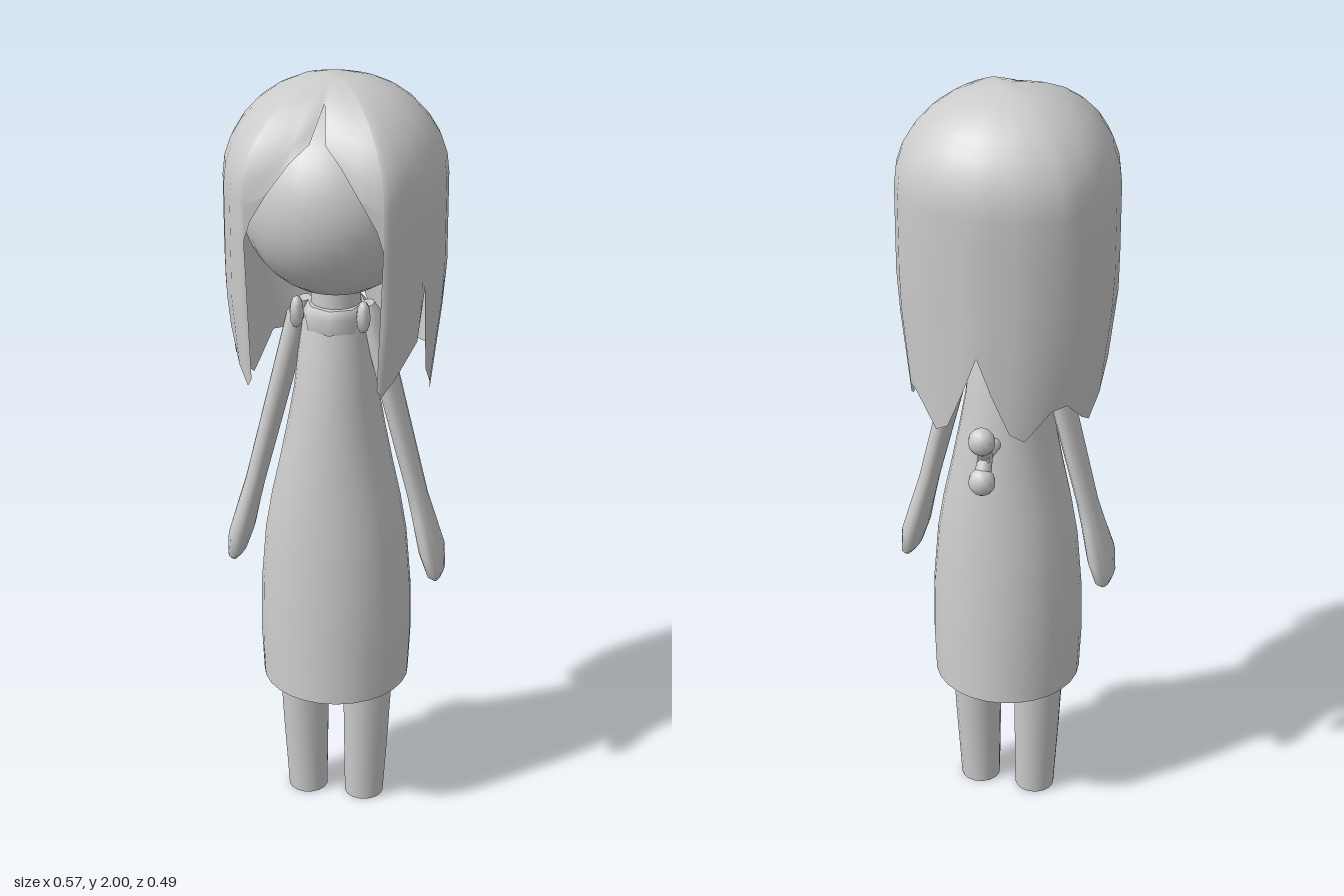
import * as THREE from 'three';

const grey = new THREE.MeshStandardMaterial({ color: 0xcccccc });
const greyThin = new THREE.MeshStandardMaterial({ color: 0xcccccc, side: THREE.DoubleSide });

function build(pos, idx) {
  const g = new THREE.BufferGeometry();
  g.setAttribute('position', new THREE.Float32BufferAttribute(pos, 3));
  g.setIndex(idx);
  g.computeVertexNormals();
  return g;
}

function add(parent, name, geometry, material = grey) {
  const m = new THREE.Mesh(geometry, material);
  m.name = name;
  parent.add(m);
  return m;
}

// Skin over elliptical rings [y, centreX, radiusX, radiusZ] listed top to bottom, with flat caps
function loft(rings, sides) {
  const pos = [], idx = [];
  const ring = ([y, cx, rx, rz]) => {
    for (let j = 0; j < sides; j++) {
      const t = (j / sides) * Math.PI * 2;
      pos.push(cx + rx * Math.cos(t), y, rz * Math.sin(t));
    }
  };
  rings.forEach(ring);
  for (let i = 0; i < rings.length - 1; i++) {
    for (let j = 0; j < sides; j++) {
      const k = (j + 1) % sides;
      const a = i * sides + j, b = i * sides + k, c = a + sides, d = b + sides;
      idx.push(a, b, c, b, d, c);
    }
  }
  [rings[0], rings[rings.length - 1]].forEach((r, end) => {
    const s = pos.length / 3;
    ring(r);
    for (let j = 1; j < sides - 1; j++) {
      idx.push(s, ...(end ? [s + j, s + j + 1] : [s + j + 1, s + j]));
    }
  });
  return build(pos, idx);
}

// Hair shell: each column follows a dome, then hangs straight to its own hem height
function hairGeometry() {
  // [x, z, hem height] from the centre parting round to the centre back
  const half = [
    [0, 0.232, 1.965], [0.022, 0.235, 1.89], [0.065, 0.243, 1.85], [0.11, 0.246, 1.78],
    [0.15, 0.246, 1.71], [0.166, 0.245, 1.66], // face opening
    [0.167, 0.245, 1.31], [0.18, 0.24, 1.29], [0.207, 0.21, 1.33], [0.24, 0.14, 1.4], // front lock
    [0.243, 0.13, 1.53], [0.261, 0.07, 1.3], [0.268, 0, 1.235], [0.263, -0.06, 1.19], // side lock
    [0.25, -0.1, 1.215], [0.222, -0.155, 1.27], [0.19, -0.19, 1.265],
    [0.13, -0.222, 1.19], [0.09, -0.234, 1.21], [0.04, -0.244, 1.31], [0, -0.248, 1.41], // back locks
  ];
  const mirrored = half.slice(0, -1).reverse().map(([x, z, h]) => [-x, z, h]);
  const columns = [...half, ...mirrored];
  const EQ = 1.76, RISE = 0.24, DOME = 8, HANG = 5, rows = DOME + HANG + 1;
  const pos = [], idx = [];
  for (const [x, z, hem] of columns) {
    const low = Math.max(hem, EQ);
    const end = Math.acos((low - EQ) / RISE);
    for (let i = 0; i < rows; i++) {
      const a = end * Math.min(1, i / DOME);
      const y = i <= DOME ? EQ + RISE * Math.cos(a)
        : low + (Math.min(hem, low) - low) * (i - DOME) / HANG;
      const taper = 1 - 0.45 * Math.max(0, 1.5 - y);
      pos.push(x * Math.sin(a) * taper, y, z * Math.sin(a));
    }
  }
  for (let j = 0; j < columns.length - 1; j++) {
    for (let i = 0; i < rows - 1; i++) {
      const a = j * rows + i, b = a + rows, c = a + 1, d = b + 1;
      idx.push(a, c, b, b, c, d);
    }
  }
  return build(pos, idx);
}

function ellipsoid(parent, name, x, y, z, rx, ry, rz, seg = 12) {
  const m = add(parent, name, new THREE.SphereGeometry(1, seg, Math.ceil(seg * 0.7)));
  m.position.set(x, y, z);
  m.scale.set(rx, ry, rz);
  return m;
}

export function createModel() {
  const model = new THREE.Group();
  model.name = 'girl';

  // Head and hair
  ellipsoid(model, 'head', 0, 1.7, 0, 0.232, 0.24, 0.238, 28);
  add(model, 'hair', hairGeometry(), greyThin);

  // Neck and collar
  add(model, 'neck', loft([[1.52, 0, 0.06, 0.06], [1.36, 0, 0.065, 0.065]], 16));
  add(model, 'collar', loft([
    [1.43, 0, 0.072, 0.08], [1.41, 0, 0.088, 0.098], [1.37, 0, 0.08, 0.09],
  ], 8));

  // Dress
  add(model, 'dress', loft([
    [1.42, 0, 0.07, 0.06], [1.38, 0, 0.085, 0.08], [1.2, 0, 0.105, 0.108], [1.1, 0, 0.123, 0.12],
    [1.0, 0, 0.143, 0.132], [0.9, 0, 0.165, 0.143], [0.8, 0, 0.182, 0.154],
    [0.65, 0, 0.194, 0.17], [0.5, 0, 0.196, 0.182], [0.38, 0, 0.19, 0.19],
  ], 28));

  // Arms and legs
  for (const s of [1, -1]) {
    const side = s > 0 ? 'left' : 'right';
    add(model, side + 'Arm', loft([
      [1.43, 0.08, 0.015, 0.025], [1.39, 0.095, 0.03, 0.043], [1.2, 0.141, 0.029, 0.045],
      [0.92, 0.211, 0.026, 0.04], [0.86, 0.227, 0.028, 0.05], [0.77, 0.25, 0.031, 0.073],
      [0.71, 0.262, 0.022, 0.062], [0.69, 0.266, 0.01, 0.035],
    ].map(([y, x, rx, rz]) => [y, s * x, rx, rz]), 12));
    add(model, side + 'Leg', loft([
      [0.45, 0.085, 0.066, 0.067], [0.35, 0.085, 0.065, 0.065],
      [0.2, 0.082, 0.06, 0.06], [0, 0.077, 0.052, 0.052],
    ].map(([y, x, rx, rz]) => [y, s * x, rx, rz]), 16));
    ellipsoid(model, side + 'CollarKnot', s * 0.083, 1.42, 0.07, 0.018, 0.042, 0.025, 8);
  }

  // Wind-up key on the back
  const key = new THREE.Group();
  key.name = 'backKey';
  key.position.set(0, 1.11, 0);
  model.add(key);
  const stem = add(key, 'keyStem', new THREE.CylinderGeometry(0.02, 0.016, 0.12, 10));
  stem.rotation.x = Math.PI / 2;
  stem.position.z = -0.14;
  for (const s of [1, -1]) {
    const arm = add(key, 'keyArm', new THREE.CylinderGeometry(0.022, 0.018, 0.06, 10));
    arm.position.set(0, s * 0.025, -0.195);
    arm.rotation.x = s > 0 ? -0.5 : Math.PI + 0.5;
    ellipsoid(key, 'keyKnob', 0, s * 0.056, -0.21, 0.034, 0.036, 0.031, 12);
  }
  return model;
}
